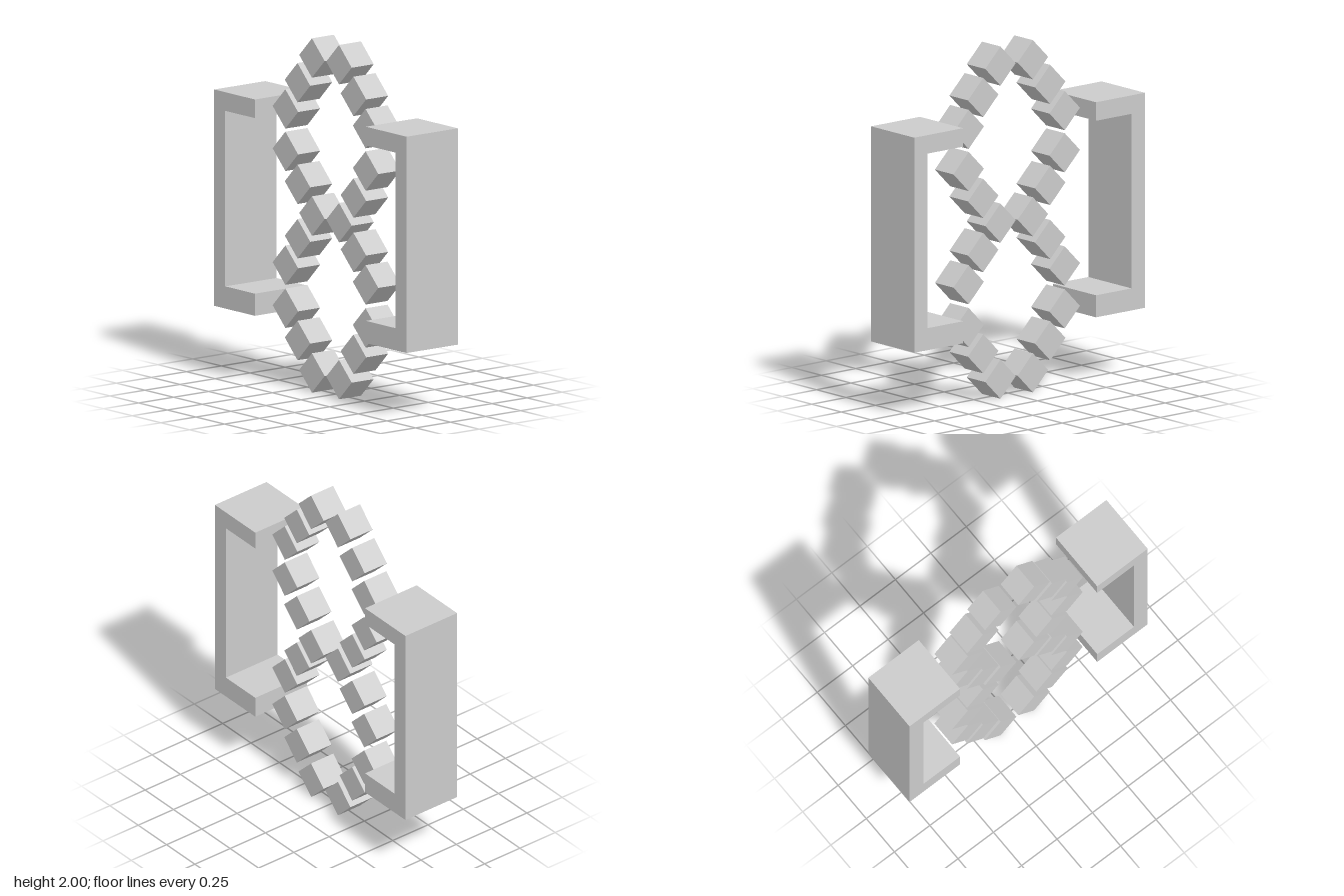
import * as THREE from 'three';

const material = new THREE.MeshStandardMaterial({ color: 0xcccccc, flatShading: true });

// C-shaped bracket, opening toward -z, extruded across x
function createBracket() {
  const outer = 0.84, inner = 0.743, tip = 0.484, width = 0.366;
  const bottom = 0.39, floor = 0.515, ceiling = 1.505, top = 1.61;
  const profile = new THREE.Shape([
    [tip, bottom], [outer, bottom], [outer, top], [tip, top],
    [tip, ceiling], [inner, ceiling], [inner, floor], [tip, floor],
  ].map(([z, y]) => new THREE.Vector2(z, y)));
  const geometry = new THREE.ExtrudeGeometry(profile, { depth: width, bevelEnabled: false });
  geometry.translate(0, 0, -width / 2);
  geometry.rotateY(-Math.PI / 2);
  return new THREE.Mesh(geometry, material);
}

export function createModel() {
  const model = new THREE.Group();

  // Front and back brackets
  const frontBracket = createBracket();
  frontBracket.name = 'frontBracket';
  const backBracket = createBracket();
  backBracket.name = 'backBracket';
  backBracket.rotation.y = Math.PI;
  model.add(frontBracket, backBracket);

  // Figure-eight chain of cubes standing on edge, placed row by row
  const chain = new THREE.Group();
  chain.name = 'cubeChain';
  const cube = new THREE.BoxGeometry(0.157, 0.157, 0.157);
  const rowHeights = [0.113, 0.276, 0.441, 0.684, 0.85, 0.998, 1.157, 1.326, 1.565, 1.73, 1.889];
  const rowOffsets = [0.118, 0.244, 0.35, 0.35, 0.244, 0.118, 0.244, 0.35, 0.35, 0.244, 0.118];
  rowHeights.forEach((y, i) => {
    for (const side of [1, -1]) {
      const link = new THREE.Mesh(cube, material);
      link.name = side > 0 ? 'frontCube' : 'backCube';
      link.position.set(0, y, side * rowOffsets[i] + 0.004);
      link.rotation.x = Math.PI / 4;
      chain.add(link);
    }
  });
  model.add(chain);

  return model;
}
